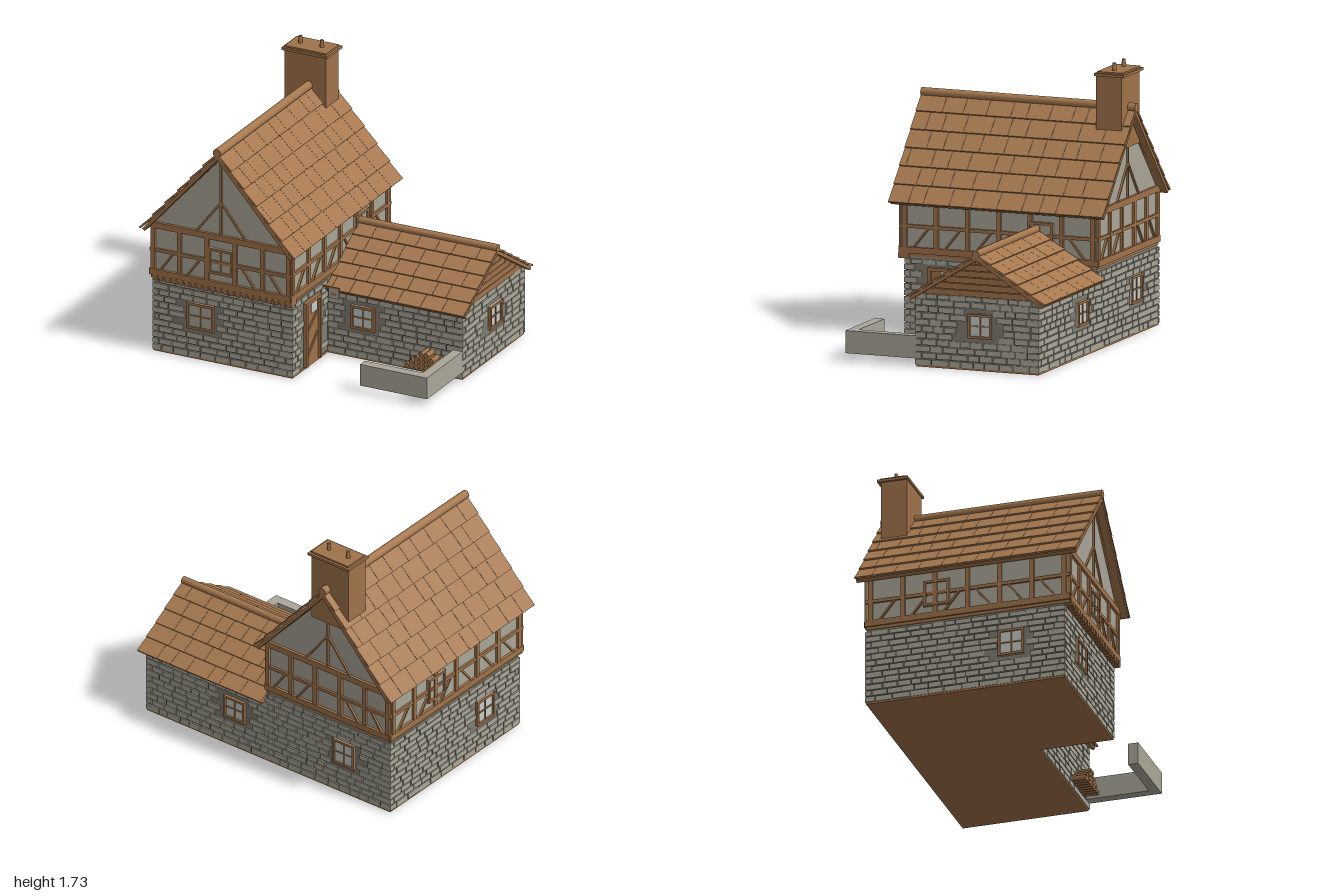
import * as THREE from 'three';
import { mergeGeometries } from 'three/addons/utils/BufferGeometryUtils.js';

const material = (name, color) => {
  const m = new THREE.MeshStandardMaterial({ color });
  m.name = name;
  return m;
};

export function createModel() {
  const stone = material('stone', 0xaaa799);
  const mortar = material('mortar', 0x7f7c70);
  const plaster = material('plaster', 0xa9a597);
  const timber = material('timber', 0xa0734a);
  const tile = material('roofTile', 0xa6784f);
  const glass = material('glass', 0xc6ccc8);

  const house = new THREE.Group();
  house.name = 'house';

  let seed = 7;
  const rand = () => (seed = (seed * 16807) % 2147483647) / 2147483647;

  const add = (parent, name, geo, mat) => {
    const mesh = new THREE.Mesh(geo, mat);
    mesh.name = name;
    parent.add(mesh);
    return mesh;
  };
  // Box from minimum and maximum corners
  const span = (x0, x1, y0, y1, z0, z1) =>
    new THREE.BoxGeometry(x1 - x0, y1 - y0, z1 - z0)
      .translate((x0 + x1) / 2, (y0 + y1) / 2, (z0 + z1) / 2);
  // Beam between two points on a wall face
  const beam = (x0, y0, x1, y1, w, depth = 0.014) =>
    new THREE.BoxGeometry(Math.hypot(x1 - x0, y1 - y0), w, depth)
      .rotateZ(Math.atan2(y1 - y0, x1 - x0))
      .translate((x0 + x1) / 2, (y0 + y1) / 2, depth / 2);
  // Wall face: local x runs along the wall, z points outwards
  const face = (name, x, z, turn) => {
    const g = new THREE.Group();
    g.name = name;
    g.position.set(x, 0, z);
    g.rotation.y = turn * Math.PI / 2;
    house.add(g);
    return g;
  };

  // Raised stones in staggered rows, leaving out the holes [x0, x1, y0, y1]
  function stones(parent, a, b, top, holes = []) {
    const geos = [], rows = Math.round(top / 0.041), h = top / rows;
    for (let r = 0; r < rows; r++) {
      const y0 = 0.013 + r * h, y1 = Math.min(y0 + h - 0.007, top);
      let x = a;
      while (x < b - 0.01) {
        const first = x === a && r % 2;
        let end = Math.min(b, x + (first ? 0.045 : 0.065 + rand() * 0.055));
        if (b - end < 0.03) end = b;
        const hit = holes.some(k => end > k[0] && x < k[1] && y1 > k[2] && y0 < k[3]);
        if (!hit) {
          geos.push(span(x, end - (end < b ? 0.007 : 0), y0, y1, -0.005, 0.007 + rand() * 0.004));
        }
        x = end;
      }
    }
    add(parent, 'stones', mergeGeometries(geos), stone);
  }

  // Four-pane window centred at x, y
  function makeWindow(parent, x, y, w, h, pane) {
    const g = new THREE.Group();
    g.name = 'window';
    g.position.set(x, y, 0);
    parent.add(g);
    add(g, 'pane', span(-w / 2, w / 2, -h / 2, h / 2, 0, 0.009), pane);
    const bars = [];
    for (const s of [-1, 1]) {
      bars.push(beam(s * (w / 2 - 0.008), -h / 2, s * (w / 2 - 0.008), h / 2, 0.016, 0.02));
      bars.push(beam(-w / 2, s * (h / 2 - 0.008), w / 2, s * (h / 2 - 0.008), 0.016, 0.02));
    }
    bars.push(beam(0, -h / 2, 0, h / 2, 0.009, 0.015), beam(-w / 2, 0, w / 2, 0, 0.009, 0.015));
    add(g, 'windowFrame', mergeGeometries(bars), timber);
  }

  // Posts, rails and braces of the upper floor
  function timberFrame(parent, a, b, posts) {
    const geos = [beam(a, 0.545, b, 0.545, 0.04, 0.018), beam(a, 0.862, b, 0.862, 0.04, 0.018),
      beam(a, 0.695, b, 0.695, 0.022)];
    posts.forEach((p, i) => {
      geos.push(beam(p, 0.53, p, 0.87, 0.028, 0.016));
      if (i < posts.length - 1) {
        const q = posts[i + 1], s = p + q < a + b ? 1 : -1, m = (p + q) / 2, d = (q - p) * 0.24;
        if (Math.abs(p + q - a - b) > 0.08) geos.push(beam(m - s * d, 0.56, m + s * d, 0.685, 0.012));
      }
    });
    add(parent, 'timberFrame', mergeGeometries(geos), timber);
  }

  // Gable prism, extruded along z
  function gable(name, x0, x1, y0, y1, z0, z1, mat) {
    const s = new THREE.Shape([new THREE.Vector2(x0, y0), new THREE.Vector2(x1, y0),
      new THREE.Vector2((x0 + x1) / 2, y1)]);
    const geo = new THREE.ExtrudeGeometry(s, { depth: z1 - z0, bevelEnabled: false }).translate(0, 0, z0);
    return add(house, name, geo, mat);
  }

  // Pitched roof with overlapping courses, ridge along local z
  function makeRoof(name, run, rise, length, courses, ridgeRadius) {
    const roof = new THREE.Group();
    roof.name = name;
    const L = Math.hypot(run, rise), step = L / courses;
    for (const turn of [0, Math.PI]) {
      const side = new THREE.Group(), slope = new THREE.Group();
      side.name = 'roofSide';
      side.rotation.y = turn;
      slope.rotation.z = -Math.atan2(rise, run);
      side.add(slope);
      roof.add(side);
      add(slope, 'roofDeck', span(0, L - 0.01, -0.022, 0, -length / 2 + 0.005, length / 2 - 0.005), timber);
      const geos = [];
      for (let c = 0; c < courses; c++) {
        let z = -length / 2;
        while (z < length / 2 - 0.01) {
          let end = Math.min(length / 2, z + 0.09 + rand() * 0.09);
          if (length / 2 - end < 0.04) end = length / 2;
          const len = step * 1.06 + rand() * 0.006;
          geos.push(new THREE.BoxGeometry(len, 0.012, end - z - 0.0015).translate(len / 2, 0, 0)
            .rotateZ(0.075).translate((c + 1) * step - len, 0.004, (z + end) / 2));
          z = end;
        }
      }
      add(slope, 'roofTiles', mergeGeometries(geos), tile);
    }
    add(roof, 'ridge', new THREE.CylinderGeometry(ridgeRadius, ridgeRadius, length, 12)
      .rotateX(Math.PI / 2).translate(0, 0.015, 0), tile);
    house.add(roof);
    return roof;
  }

  // Floors and wall cores
  add(house, 'mainFloor', span(-0.955, 0.015, 0, 0.014, -0.66, 0.63), timber);
  add(house, 'wingFloor', span(0.015, 0.955, 0, 0.014, -0.66, 0.158), timber);
  add(house, 'mainStoneWall', span(-0.95, 0.01, 0.012, 0.5, -0.655, 0.625), mortar);
  add(house, 'wingStoneWall', span(0.01, 0.95, 0.012, 0.468, -0.655, 0.155), mortar);
  add(house, 'upperWall', span(-0.948, 0.01, 0.5, 0.89, -0.655, 0.655), plaster);
  add(house, 'jettyBeam', span(-0.955, 0.018, 0.505, 0.53, -0.66, 0.665), timber);
  const joists = [];
  for (let i = 0; i < 22; i++) {
    const x = -0.94 + i * 0.0446;
    joists.push(span(x, x + 0.03, 0.492, 0.525, 0.6, 0.672));
  }
  add(house, 'joists', mergeGeometries(joists), timber);

  // Gables
  gable('mainGable', -0.948, 0.01, 0.88, 1.415, -0.655, 0.655, plaster);
  const wingGable = gable('wingGable', -0.155, 0.655, 0.465, 0.715, 0.02, 0.95, timber);
  wingGable.rotation.y = Math.PI / 2;
  const boards = [];
  for (let i = 0; i < 6; i++) {
    const w = 0.405 * (1 - (i + 0.9) / 6.1);
    boards.push(span(0.945, 0.962, 0.463 + i * 0.041, 0.5 + i * 0.041, -0.25 - w, -0.25 + w));
  }
  add(house, 'gableBoards', mergeGeometries(boards), timber);

  // Ground floor faces
  const front = face('mainFront', 0, 0.625, 0);
  stones(front, -0.96, 0.02, 0.49, [[-0.72, -0.53, 0.2, 0.375]]);
  makeWindow(front, -0.625, 0.288, 0.19, 0.175, plaster);
  const wingFront = face('wingFront', 0, 0.155, 0);
  stones(wingFront, 0.02, 0.96, 0.455, [[0.18, 0.345, 0.2, 0.355]]);
  makeWindow(wingFront, 0.263, 0.278, 0.165, 0.155, glass);
  const wingEnd = face('wingEnd', 0.95, 0, 1);
  stones(wingEnd, -0.165, 0.665, 0.46, [[0.19, 0.35, 0.2, 0.36]]);
  makeWindow(wingEnd, 0.27, 0.28, 0.16, 0.155, glass);
  const back = face('back', 0, -0.655, 2);
  stones(back, -0.96, 0, 0.455, [[-0.345, -0.18, 0.2, 0.355]]);
  stones(back, 0, 0.96, 0.49, [[0.51, 0.68, 0.2, 0.375]]);
  makeWindow(back, -0.263, 0.278, 0.165, 0.155, glass);
  makeWindow(back, 0.595, 0.288, 0.17, 0.175, glass);
  const outer = face('mainOuterSide', -0.95, 0, -1);
  stones(outer, -0.665, 0.635, 0.49, [[0.2, 0.37, 0.2, 0.375]]);
  makeWindow(outer, 0.285, 0.288, 0.17, 0.175, glass);
  const doorSide = face('doorSide', 0.01, 0, 1);
  stones(doorSide, -0.635, -0.165, 0.49, [[-0.475, -0.27, 0, 0.445]]);

  // Door
  add(doorSide, 'doorLeaf', span(-0.455, -0.29, 0.014, 0.425, 0, 0.005), timber);
  add(doorSide, 'doorPane', span(-0.385, -0.305, 0.345, 0.42, 0.003, 0.009), glass);
  add(doorSide, 'doorFrame', mergeGeometries([
    beam(-0.464, 0.014, -0.464, 0.445, 0.022, 0.024), beam(-0.281, 0.014, -0.281, 0.445, 0.022, 0.024),
    beam(-0.475, 0.434, -0.27, 0.434, 0.022, 0.024), beam(-0.45, 0.23, -0.3, 0.34, 0.018, 0.012),
    beam(-0.45, 0.06, -0.3, 0.2, 0.018, 0.012)]), timber);

  // Hanging sign beside the door
  add(house, 'signBoard', span(0.06, 0.13, 0.405, 0.47, 0.226, 0.234), plaster);
  add(house, 'signArm', span(0.01, 0.135, 0.47, 0.48, 0.225, 0.235), timber);
  add(house, 'signEmblem', new THREE.CircleGeometry(0.022, 12, 0, Math.PI).translate(0.095, 0.425, 0.236), timber);

  // Timber-framed upper floor and gable struts
  for (const turn of [0, 2]) {
    const f = face(turn ? 'upperBack' : 'upperFront', -0.467, turn ? -0.655 : 0.655, turn);
    timberFrame(f, -0.488, 0.488, [-0.472, -0.29, -0.098, 0.098, 0.29, 0.472]);
    if (!turn) makeWindow(f, 0, 0.7, 0.17, 0.17, plaster);
    add(f, 'gableStruts', mergeGeometries([beam(0, 0.88, 0, 1.41, 0.014, 0.012),
      beam(-0.17, 0.88, 0, 1.1, 0.012, 0.012), beam(0.17, 0.88, 0, 1.1, 0.012, 0.012),
      beam(-0.475, 0.885, 0, 1.405, 0.02, 0.012), beam(0.475, 0.885, 0, 1.405, 0.02, 0.012)]), timber);
  }
  for (const turn of [1, -1]) {
    const f = face('upperSide', turn > 0 ? 0.01 : -0.948, 0, turn);
    timberFrame(f, -0.668, 0.668, [-0.63, -0.42, -0.21, 0, 0.21, 0.42, 0.63]);
    makeWindow(f, turn > 0 ? 0.28 : -0.2, 0.695, 0.17, 0.17, plaster);
  }

  // Roofs
  makeRoof('mainRoof', 0.53, 0.6, 1.44, 6, 0.028).position.set(-0.466, 1.436, 0);
  const wingRoof = makeRoof('wingRoof', 0.455, 0.285, 0.97, 5, 0.024);
  wingRoof.position.set(0.505, 0.722, -0.253);
  wingRoof.rotation.y = Math.PI / 2;

  // Chimney
  add(house, 'chimneyStack', span(-0.635, -0.345, 1.2, 1.66, -0.67, -0.5), timber);
  add(house, 'chimneyCap', mergeGeometries([span(-0.65, -0.33, 1.655, 1.672, -0.69, -0.49),
    span(-0.635, -0.345, 1.672, 1.683, -0.675, -0.505)]), timber);
  for (const x of [-0.57, -0.42]) {
    add(house, 'chimneyPot', new THREE.CylinderGeometry(0.012, 0.014, 0.05, 10).translate(x, 1.705, -0.59), timber);
  }

  // Low yard wall
  add(house, 'yardWallFront', span(0.49, 0.957, 0.05, 0.192, 0.57, 0.635), stone);
  add(house, 'yardWallSide', span(0.893, 0.957, 0.05, 0.192, 0.16, 0.57), stone);

  // Log pile
  const logs = [];
  for (let r = 0; r < 4; r++) {
    for (let i = 0; i < 8 - r * 2; i++) {
      logs.push(new THREE.CylinderGeometry(0.017, 0.017, 0.09, 8).rotateX(Math.PI / 2)
        .translate(0.615 + r * 0.034 + i * 0.034, 0.067 + r * 0.029, 0.21));
    }
  }
  add(house, 'logPile', mergeGeometries(logs), timber);

  return house;
}
